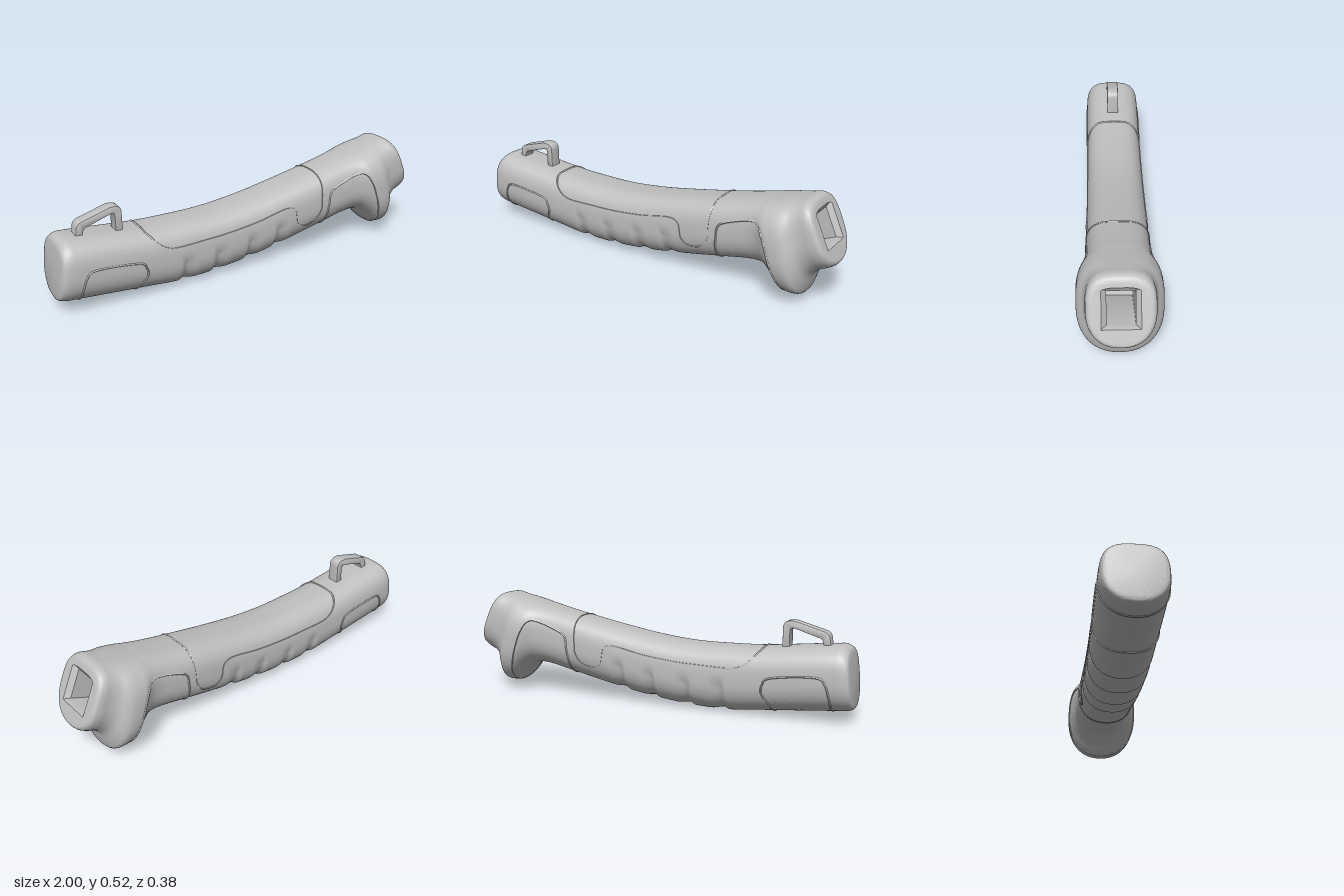
import * as THREE from 'three';
import { toCreasedNormals } from 'three/addons/utils/BufferGeometryUtils.js';

const bodyGrey = new THREE.MeshStandardMaterial({ color: 0xc0c0c0 });
bodyGrey.name = 'bodyGrey';

// Cross-sections from the rear to the head: top x, y, bottom x, y, half width, top squareness
const stations = [
  [-0.975, 0.315, -0.998, 0.085, 0.115, 3],
  [-0.966, 0.34, -0.993, 0.064, 0.133, 3],
  [-0.935, 0.356, -0.965, 0.053, 0.143, 3],
  [-0.9, 0.355, -0.92, 0.049, 0.146, 3],
  [-0.55, 0.322, -0.57, 0.016, 0.146, 3],
  [-0.4, 0.317, -0.39, 0.0, 0.146, 3],
  [-0.2, 0.318, -0.19, 0.006, 0.146, 3],
  [0, 0.338, 0.03, 0.031, 0.146, 3],
  [0.2, 0.372, 0.25, 0.072, 0.146, 3],
  [0.41, 0.414, 0.45, 0.115, 0.146, 3],
  [0.52, 0.438, 0.58, 0.143, 0.146, 3],
  [0.58, 0.452, 0.645, 0.15, 0.15, 3],
  [0.62, 0.462, 0.7, 0.138, 0.161, 2.9],
  [0.65, 0.468, 0.75, 0.095, 0.178, 2.9],
  [0.668, 0.473, 0.787, 0.052, 0.188, 2.9],
  [0.685, 0.477, 0.805, 0.042, 0.19, 2.9],
  [0.725, 0.487, 0.855, 0.046, 0.189, 2.9],
  [0.75, 0.493, 0.87, 0.08, 0.18, 2.9],
  [0.785, 0.501, 0.89, 0.15, 0.157, 3],
  [0.815, 0.508, 0.925, 0.187, 0.149, 3.1],
  [0.848, 0.516, 0.967, 0.208, 0.148, 3.2],
  [0.874, 0.511, 0.99, 0.224, 0.143, 3.2],
  [0.887, 0.495, 1.0, 0.241, 0.13, 3.2],
  [0.895, 0.477, 0.994, 0.258, 0.114, 3.2],
];
const last = stations.length - 1;
const topCurve = new THREE.CatmullRomCurve3(stations.map((s) => new THREE.Vector3(s[0], s[1], s[4])));
const bottomCurve = new THREE.CatmullRomCurve3(stations.map((s) => new THREE.Vector3(s[2], s[3], s[5])));
const lowerPower = 2.25;
const power = (v, e) => Math.sign(v) * Math.abs(v) ** e;

// Finger grooves: a steep rear edge that fades out toward the front
function grooveDepth(x, height) {
  const reach = 1 - THREE.MathUtils.smoothstep(height, -0.2, 0.15);
  let depth = 0;
  for (const start of [-0.393, -0.22, -0.035, 0.13]) {
    const d = x - start;
    depth += THREE.MathUtils.smoothstep(d, -0.015, 0.012) * (1 - THREE.MathUtils.smoothstep(d, 0.012, 0.085));
  }
  return 0.075 * depth * reach;
}

// Point on the skin at station position p and angle t around the section
function skin(p, t) {
  const a = topCurve.getPoint(p / last);
  const b = bottomCurve.getPoint(p / last);
  const e = 2 / (Math.sin(t) > 0 ? b.z : lowerPower);
  const v = power(Math.sin(t), e);
  const w = power(Math.cos(t), e);
  const x = (a.x + b.x) / 2 + (a.x - b.x) / 2 * v;
  const k = 1 - grooveDepth(x, v);
  return new THREE.Vector3(x, (a.y + b.y) / 2 + (a.y - b.y) / 2 * v * k, a.z * w * k);
}

// Skin coordinates (p, t) of a side position x, y
function locate([x, y]) {
  let lo = 0, hi = last - 2;
  for (let i = 0; i < 40; i++) {
    const mid = (lo + hi) / 2;
    const a = topCurve.getPoint(mid / last), b = bottomCurve.getPoint(mid / last);
    if ((a.x - b.x) * (y - b.y) - (a.y - b.y) * (x - b.x) < 0) lo = mid;
    else hi = mid;
  }
  const a = topCurve.getPoint(lo / last), b = bottomCurve.getPoint(lo / last);
  const v = THREE.MathUtils.clamp((2 * y - a.y - b.y) / (a.y - b.y), -1, 1);
  return new THREE.Vector3(lo, Math.asin(power(v, (v > 0 ? b.z : lowerPower) / 2)), 0);
}

// Skin stretched over a list of rings of equal size
function loft(rings) {
  const n = rings[0].length;
  const index = [];
  for (let i = 0; i < rings.length - 1; i++) {
    for (let j = 0; j < n; j++) {
      const a = i * n + j, b = i * n + (j + 1) % n;
      index.push(a, a + n, b, b, a + n, b + n);
    }
  }
  const geometry = new THREE.BufferGeometry().setFromPoints(rings.flat());
  geometry.setIndex(index);
  return toCreasedNormals(geometry, 0.6);
}

function buildBody() {
  const sides = 96;
  const ring = (f) => Array.from({ length: sides }, (_, j) => f(j / sides * Math.PI * 2));
  const rings = [ring(() => new THREE.Vector3(-0.9865, 0.2, 0))];
  for (let i = 0; i < last; i++) {
    const [a, b] = [stations[i], stations[i + 1]];
    const length = Math.max(b[0] - a[0], b[2] - a[2]);
    const steps = Math.max(3, Math.ceil(length / 0.009));
    for (let k = 0; k < steps; k++) rings.push(ring((t) => skin(i + k / steps, t)));
  }
  rings.push(ring((t) => skin(last, t)));

  // Deep square socket with a shallow bevel: half height, half width, depth, lift
  const up = new THREE.Vector3(-0.412, 0.911, 0);
  const axis = new THREE.Vector3(0.911, 0.412, 0);
  const sockets = [[0.09, 0.082, 0, 0], [0.0725, 0.06, 0.022, -0.003], [0.0725, 0.06, 0.36, -0.003], [0, 0, 0.36, -0.003]];
  for (const [h, w, depth, lift] of sockets) {
    rings.push(ring((t) => {
      const c = Math.cos(t), s = Math.sin(t), m = Math.max(Math.abs(c), Math.abs(s));
      return new THREE.Vector3(0.933, 0.3925, w * c / m)
        .addScaledVector(up, h * s / m + lift)
        .addScaledVector(axis, -depth);
    }));
  }
  return loft(rings);
}

// Panel seam: a fine square bead following the skin, from centre line to centre line
function buildSeam(points, endAngle, side) {
  const path = points.map(locate);
  path[0].y = endAngle;
  path[path.length - 1].y = endAngle;
  const flat = new THREE.CatmullRomCurve3(path);
  const line = flat.getPoints(140).map((q) => {
    const v = skin(q.x, THREE.MathUtils.clamp(q.y, -Math.PI / 2, Math.PI / 2));
    v.z *= side;
    return v;
  });
  const bead = new THREE.TubeGeometry(new THREE.CatmullRomCurve3(line), 260, 0.0045, 4);
  return toCreasedNormals(bead, 0.6);
}

// Strap loop: an arched bar with a matching opening
function buildLoop() {
  const shape = new THREE.Shape();
  shape.moveTo(-0.88, 0.33);
  shape.lineTo(-0.872, 0.385);
  shape.quadraticCurveTo(-0.868, 0.405, -0.845, 0.413);
  shape.lineTo(-0.71, 0.452);
  shape.quadraticCurveTo(-0.652, 0.46, -0.65, 0.42);
  shape.lineTo(-0.65, 0.31);
  shape.lineTo(-0.685, 0.31);
  shape.lineTo(-0.685, 0.405);
  shape.quadraticCurveTo(-0.688, 0.42, -0.705, 0.418);
  shape.lineTo(-0.825, 0.38);
  shape.quadraticCurveTo(-0.838, 0.375, -0.842, 0.355);
  shape.lineTo(-0.845, 0.33);
  const geometry = new THREE.ExtrudeGeometry(shape, {
    depth: 0.05, bevelThickness: 0.005, bevelSize: 0.004, bevelOffset: -0.004, bevelSegments: 2, curveSegments: 8,
  });
  geometry.translate(0, 0, -0.025);
  return toCreasedNormals(geometry, 0.6);
}

export function createModel() {
  const group = new THREE.Group();
  group.name = 'handle';
  const add = (name, geometry) => {
    const mesh = new THREE.Mesh(geometry, bodyGrey);
    mesh.name = name;
    group.add(mesh);
  };
  add('gripBody', buildBody());
  add('strapLoop', buildLoop());

  // Seams meet their mirror image on the top or bottom centre line
  const top = Math.PI / 2;
  const seams = {
    thumbPadSeam: [top, [[-0.566, 0.323], [-0.56, 0.31], [-0.526, 0.27], [-0.473, 0.235], [-0.26, 0.23], [0.008, 0.253],
      [0.195, 0.286], [0.235, 0.27], [0.252, 0.2], [0.29, 0.168], [0.355, 0.18], [0.393, 0.227], [0.403, 0.34], [0.41, 0.414]]],
    collarSeam: [-top, [[0.435, 0.11], [0.44, 0.2], [0.453, 0.31], [0.48, 0.335], [0.62, 0.385],
      [0.66, 0.385], [0.69, 0.35], [0.73, 0.25], [0.795, 0.05]]],
    rearPanelSeam: [-top, [[-0.9, 0.047], [-0.895, 0.145], [-0.873, 0.205], [-0.836, 0.22], [-0.66, 0.205],
      [-0.6, 0.185], [-0.585, 0.135], [-0.61, 0.08], [-0.63, 0.02]]],
  };
  for (const [name, [endAngle, points]] of Object.entries(seams)) {
    add(name + 'Left', buildSeam(points, endAngle, 1));
    add(name + 'Right', buildSeam(points, endAngle, -1));
  }
  return group;
}
